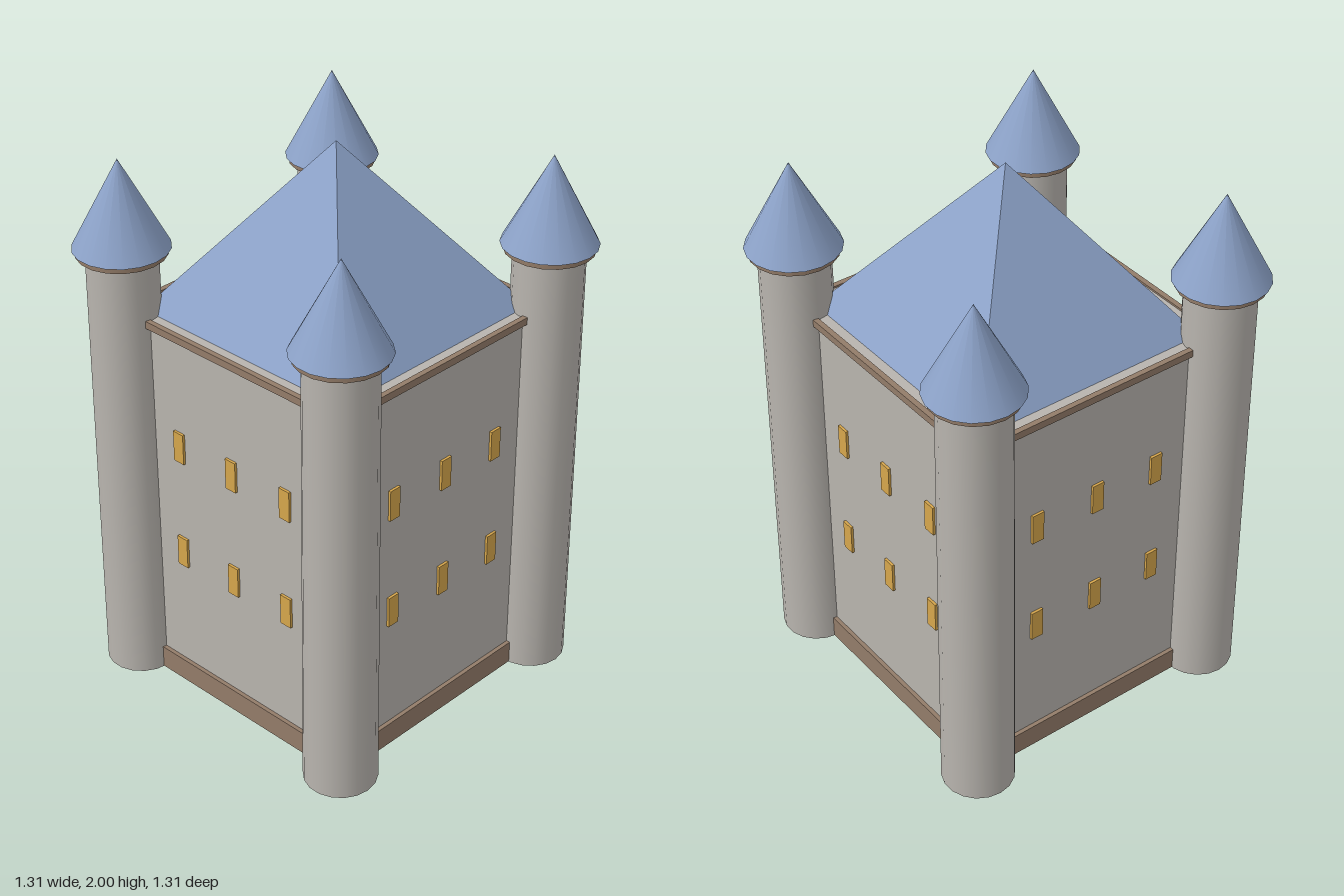
import * as THREE from 'three';

const paint = (name, color) => {
  const m = new THREE.MeshStandardMaterial({ color });
  m.name = name;
  return m;
};

function createModel() {
  const stone = paint('stone', 0xb8b4ae);
  const slate = paint('slate blue', 0x8ca2c8);
  const timber = paint('brown trim', 0x937c69);
  const amber = paint('window amber', 0xd6a64c);

  const model = new THREE.Group();
  model.name = 'castleKeep';

  const add = (parent, name, geometry, material, x = 0, y = 0, z = 0) => {
    const mesh = new THREE.Mesh(geometry, material);
    mesh.name = name;
    mesh.position.set(x, y, z);
    parent.add(mesh);
    return mesh;
  };

  // Square keep on its plinth
  const WALL = 0.49;
  add(model, 'plinth', new THREE.BoxGeometry(1.01, 0.084, 1.01), timber, 0, 0.043, 0);
  add(model, 'keepWalls', new THREE.BoxGeometry(2 * WALL, 1.36, 2 * WALL), stone, 0, 0.72, 0);

  // Pyramid roof: four-sided cone turned so its faces follow the walls
  const roof = new THREE.ConeGeometry(0.45 * Math.SQRT2, 0.6, 4).toNonIndexed();
  roof.rotateY(Math.PI / 4);
  roof.computeVertexNormals();
  add(model, 'keepRoof', roof, slate, 0, 1.7, 0);

  // Each side carries one cornice rail and two rows of three windows
  const rail = new THREE.BoxGeometry(1.018, 0.026, 0.02);
  const pane = new THREE.BoxGeometry(0.046, 0.114, 0.0095);
  for (let side = 0; side < 4; side++) {
    const face = new THREE.Group();
    face.name = 'wallFace';
    face.rotation.y = side * Math.PI / 2;
    add(face, 'cornice', rail, timber, 0, 1.394, 0.499);
    for (const y of [0.55, 0.97]) {
      for (const x of [-0.247, 0, 0.247]) {
        add(face, 'window', pane, amber, x, y, WALL + 0.0046);
      }
    }
    model.add(face);
  }

  // Round corner towers: tapered shaft, brown collar, pointed cap
  const SIDES = 18;
  const drum = (top, bottom, height) =>
    new THREE.CylinderGeometry(top, bottom, height, SIDES, 1, false, Math.PI / 2);
  const shaft = drum(0.122, 0.127, 1.615);
  const collar = drum(0.153, 0.153, 0.022);
  const cap = new THREE.ConeGeometry(0.164, 0.312, SIDES, 1, false, Math.PI / 2);
  for (const sx of [-1, 1]) {
    for (const sz of [-1, 1]) {
      const tower = new THREE.Group();
      tower.name = (sz > 0 ? 'front' : 'back') + (sx > 0 ? 'Left' : 'Right') + 'Tower';
      tower.position.set(sx * 0.491, 0, sz * 0.491);
      add(tower, 'towerShaft', shaft, stone, 0, 0.8075, 0);
      add(tower, 'towerCollar', collar, timber, 0, 1.622, 0);
      add(tower, 'towerCap', cap, slate, 0, 1.788, 0);
      model.add(tower);
    }
  }

  return model;
}

export { createModel };
